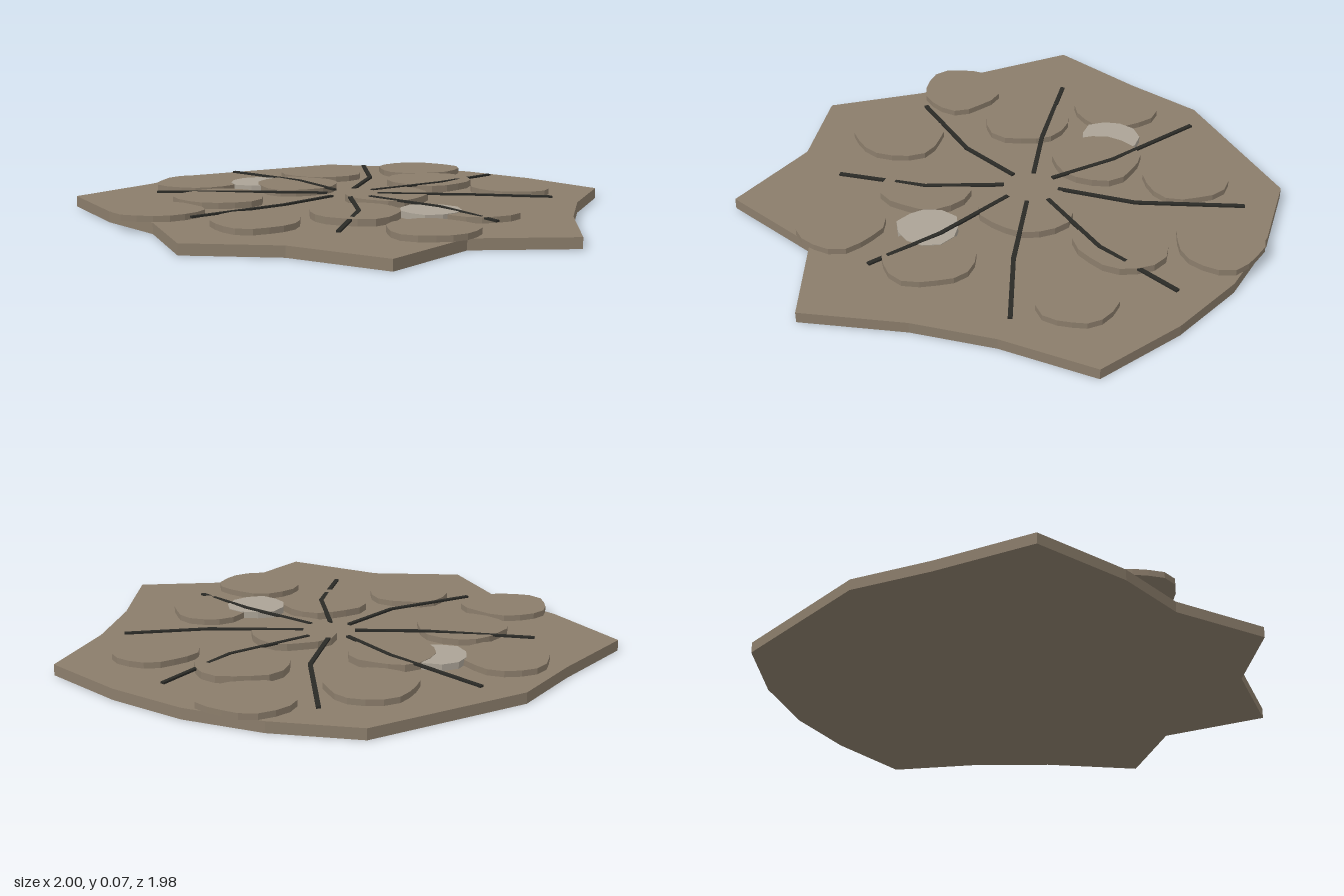
import * as THREE from 'three';

const stoneMat = new THREE.MeshStandardMaterial({ color: 0x8b7d6b, flatShading: true });
const paleMat = new THREE.MeshStandardMaterial({ color: 0xaba396, flatShading: true });
const crackMat = new THREE.MeshStandardMaterial({ color: 0x2a2a26, flatShading: true });

// Upright slab from an [x, z] outline, between two heights
function slab(name, outline, y0, y1, material) {
  const shape = new THREE.Shape(outline.map(([x, z]) => new THREE.Vector2(x, -z)));
  const geo = new THREE.ExtrudeGeometry(shape, { depth: y1 - y0, bevelEnabled: false });
  geo.rotateX(-Math.PI / 2).translate(0, y0, 0);
  const mesh = new THREE.Mesh(geo, material);
  mesh.name = name;
  return mesh;
}

// Wobbly closed outline around a centre
function blob(cx, cz, rx, rz, phase, n) {
  return Array.from({ length: n }, (_, i) => {
    const a = (i / n) * Math.PI * 2;
    const r = 0.97 + 0.04 * Math.sin(3 * a + phase) + 0.03 * Math.sin(5 * a + 2 * phase);
    return [cx + rx * r * Math.cos(a), cz + rz * r * Math.sin(a)];
  });
}

// Thin flat bar joining two points
function bar(a, b) {
  const p = new THREE.Vector3(...a), q = new THREE.Vector3(...b);
  const mesh = new THREE.Mesh(new THREE.BoxGeometry(0.016, 0.007, p.distanceTo(q) + 0.005), crackMat);
  mesh.position.copy(p).lerp(q, 0.5);
  mesh.lookAt(q);
  return mesh;
}

export function createModel() {
  const group = new THREE.Group();
  group.name = 'crackedStoneGround';

  // Jagged ground slab
  const outline = [
    [-0.10, -0.99], [0.22, -0.94], [0.50, -0.83], [0.75, -0.66], [1, -0.42], [0.90, -0.08],
    [0.86, 0.22], [0.86, 0.60], [0.48, 0.65], [0.25, 0.99], [-0.10, 0.81], [-0.45, 0.80],
    [-0.60, 0.45], [-0.80, 0.24], [-1, -0.08], [-0.78, -0.39], [-0.62, -0.65], [-0.36, -0.82],
  ];
  group.add(slab('groundSlab', outline, 0, 0.04, stoneMat));

  // Paving stones: x, z, half width, half depth, top height
  const stones = [
    [-0.105, -0.635, 0.165, 0.165, 0.062], [0.29, -0.775, 0.172, 0.16, 0.062],
    [0.34, -0.44, 0.172, 0.172, 0.066], [0.665, -0.31, 0.158, 0.145, 0.062],
    [-0.57, -0.335, 0.167, 0.17, 0.062], [-0.175, -0.295, 0.16, 0.172, 0.066],
    [0.185, -0.08, 0.162, 0.175, 0.066], [-0.43, 0.005, 0.173, 0.17, 0.063],
    [-0.615, 0.295, 0.168, 0.155, 0.062], [-0.24, 0.475, 0.16, 0.177, 0.062],
    [0.095, 0.305, 0.167, 0.17, 0.066], [0.52, 0.22, 0.157, 0.17, 0.062],
    [0.365, 0.57, 0.165, 0.165, 0.062],
  ];
  stones.forEach(([x, z, rx, rz, top], i) =>
    group.add(slab('pavingStone' + (i + 1), blob(x, z, rx, rz, i * 1.7, 17), 0.04, top, stoneMat)));

  // Pale rubble patches wedged between stones
  [[-0.33, -0.335], [0.355, 0.25]].forEach(([x, z], i) =>
    group.add(slab('palePatch' + (i + 1), blob(x, z, 0.115, 0.115, i * 2 + 1, 11), 0.04, 0.0645, paleMat)));

  // Bent cracks radiating from the middle: inner, bend and outer points in plan
  const cracks = [
    [[0.155, -0.075], [0.50, -0.075], [0.805, -0.107]],
    [[-0.04, -0.075], [-0.29, -0.075], [-0.69, -0.11]],
    [[0.13, -0.15], [0.39, -0.36], [0.585, -0.64]],
    [[-0.015, -0.15], [-0.17, -0.36], [-0.47, -0.64]],
    [[0.057, -0.18], [0.105, -0.465], [0.057, -0.855]],
    [[0.057, 0.025], [0.105, 0.31], [0.057, 0.64]],
    [[0.13, 0], [0.39, 0.20], [0.585, 0.415]],
    [[-0.015, 0], [-0.17, 0.20], [-0.47, 0.415]],
  ];
  const heights = [0.066, 0.066, 0.056];
  cracks.forEach((plan, i) => {
    const [a, b, c] = plan.map(([x, z], k) => [x, heights[k], z]);
    const crack = new THREE.Group();
    crack.name = 'crack' + (i + 1);
    crack.add(bar(a, b), bar(b, c));
    crack.children.forEach((m, k) => { m.name = k ? 'crackOuter' : 'crackInner'; });
    group.add(crack);
  });

  return group;
}
